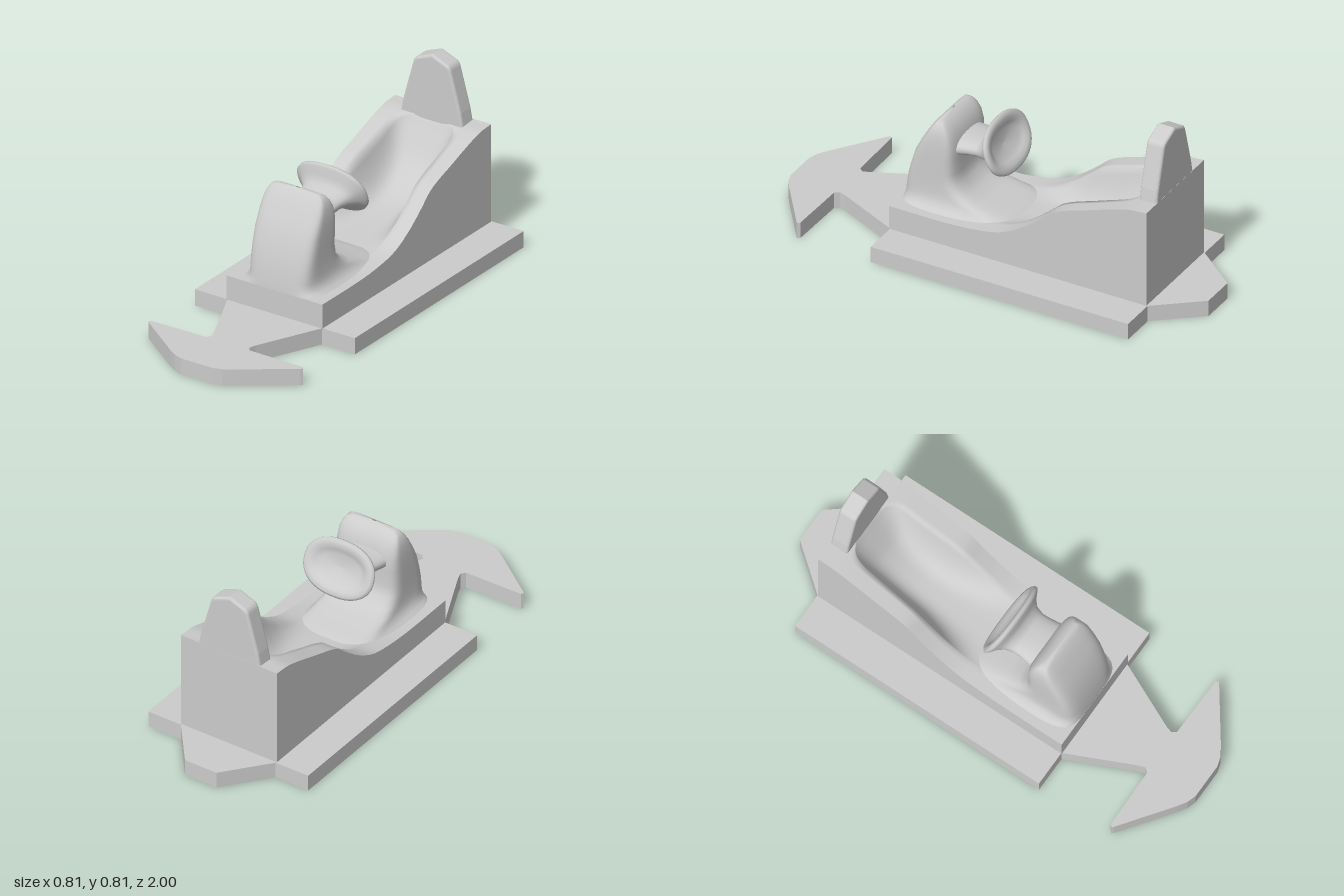
import * as THREE from 'three';

const mat = new THREE.MeshStandardMaterial({ color: 0xcccccc, side: THREE.DoubleSide });

// Smooth curve through [t, value] points, t ascending
function curve(pts) {
  const slope = (i) => {
    const a = pts[Math.max(i - 1, 0)], b = pts[Math.min(i + 1, pts.length - 1)];
    return (b[1] - a[1]) / (b[0] - a[0]);
  };
  return (t) => {
    let i = 0;
    while (i < pts.length - 2 && t > pts[i + 1][0]) i++;
    const [x0, y0] = pts[i], [x1, y1] = pts[i + 1], d = x1 - x0;
    const s = THREE.MathUtils.clamp((t - x0) / d, 0, 1), s2 = s * s, s3 = s2 * s;
    return (2 * s3 - 3 * s2 + 1) * y0 + (s3 - 2 * s2 + s) * d * slope(i)
      + (3 * s2 - 2 * s3) * y1 + (s3 - s2) * d * slope(i + 1);
  };
}

// Indexed surface over a grid of points; wrap closes each row into a ring
function gridGeometry(rows, wrap) {
  const n = rows[0].length, index = [];
  for (let i = 0; i < rows.length - 1; i++) {
    for (let j = 0; j < (wrap ? n : n - 1); j++) {
      const k = (j + 1) % n;
      const a = i * n + j, b = i * n + k, c = b + n, d = a + n;
      index.push(a, b, c, a, c, d);
    }
  }
  const g = new THREE.BufferGeometry();
  g.setAttribute('position', new THREE.Float32BufferAttribute(rows.flat(2), 3));
  g.setIndex(index);
  g.computeVertexNormals();
  return g;
}

// Superellipse ring centred on x = 0, facing up (tilt 90 deg) or back (tilt 0)
function ring(y, z, rx, r2, tilt, p) {
  const ny = Math.sin(tilt), nz = -Math.cos(tilt), out = [];
  const f = (v) => Math.sign(v) * Math.abs(v) ** (2 / p);
  for (let i = 0; i < 72; i++) {
    const a = (i / 72) * Math.PI * 2, u = rx * f(Math.cos(a)), v = r2 * f(Math.sin(a));
    out.push([u, y + v * nz, z - v * ny]);
  }
  return out;
}

function addMesh(group, name, geometry) {
  const m = new THREE.Mesh(geometry, mat);
  m.name = name;
  group.add(m);
  return m;
}

// Flat base plate with a pointed tail and an arrow-shaped nose
function makeBase(group) {
  const half = [[0.08, -1], [0.24, -0.8], [0.405, -0.8], [0.405, 0.432], [0.24, 0.432],
    [0.105, 0.725], [0.095, 0.755], [0.11, 0.775], [0.385, 0.78], [0.392, 0.79],
    [0.385, 0.798], [0.16, 0.962], [0.12, 0.987], [0.08, 1]];
  const pts = [...half, ...half.map(([x, z]) => [-x, z]).reverse()];
  const g = new THREE.ExtrudeGeometry(new THREE.Shape(pts.map(([x, z]) => new THREE.Vector2(x, -z))),
    { depth: 0.075, bevelEnabled: false });
  g.rotateX(-Math.PI / 2);
  addMesh(group, 'basePlate', g);
}

// Body block with a scooped seat in its sloping top
function makeBody(group) {
  const W = 0.243, Z0 = -0.795, Z1 = 0.435, ROWS = 110;
  const rim = curve([[Z0, 0.527], [-0.7, 0.517], [-0.5, 0.452], [-0.36, 0.4], [-0.28, 0.335],
    [-0.2, 0.275], [-0.1, 0.222], [0, 0.2], [0.15, 0.187], [Z1, 0.186]]);
  const floor = curve([[-0.715, 0.52], [-0.69, 0.475], [-0.6, 0.345], [-0.48, 0.26], [-0.33, 0.22],
    [-0.1, 0.2], [0.1, 0.188], [Z1, 0.186]]);
  const width = (z) => {
    const t = THREE.MathUtils.clamp((-0.56 - z) / 0.155, 0, 0.97);
    return (0.155 + 0.012 * THREE.MathUtils.smoothstep(z, -0.6, -0.2)) * (1 - t ** 4) ** 0.3;
  };
  const rows = [], side = [];
  for (let i = 0; i <= ROWS; i++) {
    const z = Z1 + (Z0 - Z1) * (i / ROWS), w = width(z), r = rim(z);
    const depth = z < -0.715 ? 0 : Math.max(0, r - floor(z));
    const row = [];
    for (let j = -20; j <= 20; j++) {
      const u = j / 16, s = Math.sign(u);
      const x = Math.abs(u) <= 1 ? u * w : s * (w + (W - w) * (Math.abs(u) - 1) * 4);
      const dip = Math.abs(u) < 1 ? (1 - Math.abs(u) ** 3.5) : 0;
      row.push([x, r - depth * dip, z]);
    }
    rows.push(row);
    side.push(new THREE.Vector2(-z, r));
  }
  addMesh(group, 'seatTop', gridGeometry(rows, false));

  const wall = new THREE.Shape([new THREE.Vector2(-Z1, 0.07), ...side, new THREE.Vector2(-Z0, 0.07)]);
  for (const s of [1, -1]) {
    const g = new THREE.ShapeGeometry(wall);
    g.rotateY(Math.PI / 2);
    g.translate(s * W, 0, 0);
    // Turn the far wall outward
    if (s < 0) {
      const ix = g.index.array;
      for (let k = 0; k < ix.length; k += 3) [ix[k], ix[k + 1]] = [ix[k + 1], ix[k]];
      g.computeVertexNormals();
    }
    addMesh(group, s > 0 ? 'leftWall' : 'rightWall', g);
  }
  for (const [name, z, turn] of [['frontWall', Z1, 0], ['backWall', Z0, Math.PI]]) {
    const h = rim(z) - 0.07;
    const m = addMesh(group, name, new THREE.PlaneGeometry(2 * W, h));
    m.position.set(0, 0.07 + h / 2, z);
    m.rotation.y = turn;
  }
}

// Raised front hood, flaring into the body and the seat: [y, front z, back z, half width]
function makeHood(group) {
  const table = [[0.18, 0.435, -0.12, 0.21], [0.195, 0.434, -0.1, 0.185], [0.213, 0.432, -0.03, 0.17],
    [0.235, 0.429, 0.07, 0.163], [0.26, 0.425, 0.13, 0.16], [0.3, 0.418, 0.172, 0.158],
    [0.35, 0.405, 0.184, 0.158], [0.42, 0.383, 0.184, 0.158], [0.48, 0.352, 0.186, 0.157],
    [0.53, 0.323, 0.2, 0.152], [0.56, 0.303, 0.217, 0.143], [0.58, 0.287, 0.235, 0.13],
    [0.591, 0.276, 0.252, 0.11], [0.595, 0.266, 0.262, 0.01]];
  const rows = table.map(([y, f, b, w]) => ring(y, (f + b) / 2, w, (f - b) / 2, Math.PI / 2, 5));
  addMesh(group, 'frontHood', gridGeometry(rows, true));
}

// Steering column flaring into a dished oval wheel: [z, y, half width, half height, tilt]
function makeWheel(group) {
  const T = 0.385;
  const table = [[0.23, 0.46, 0.118, 0.048, 0], [0.18, 0.463, 0.112, 0.043, 0], [0.14, 0.467, 0.105, 0.039, 0],
    [0.1, 0.471, 0.104, 0.04, 0.1], [0.062, 0.477, 0.115, 0.052, 0.25], [0.035, 0.487, 0.143, 0.085, T],
    [0.02, 0.493, 0.167, 0.114, T], [0.012, 0.496, 0.175, 0.124, T], [0.004, 0.499, 0.174, 0.124, T],
    [-0.003, 0.502, 0.164, 0.114, T], [-0.002, 0.502, 0.145, 0.094, T], [0.008, 0.498, 0.125, 0.074, T],
    [0.02, 0.493, 0.1, 0.054, T], [0.026, 0.491, 0.002, 0.002, T]];
  const rows = table.map(([z, y, rx, r2, t]) => ring(y, z, rx, r2, t, 2.3));
  addMesh(group, 'steeringWheel', gridGeometry(rows, true));
}

// Tapered headrest with a shallow peak
function makeHeadrest(group) {
  const s = new THREE.Shape();
  s.moveTo(-0.16, 0.5);
  s.lineTo(0.16, 0.5);
  s.lineTo(0.145, 0.58);
  s.lineTo(0.095, 0.76);
  s.quadraticCurveTo(0.09, 0.778, 0.075, 0.785);
  s.lineTo(0, 0.815);
  s.lineTo(-0.075, 0.785);
  s.quadraticCurveTo(-0.09, 0.778, -0.095, 0.76);
  s.lineTo(-0.145, 0.58);
  s.closePath();
  const g = new THREE.ExtrudeGeometry(s, {
    depth: 0.06, bevelThickness: 0.012, bevelSize: 0.012, bevelOffset: -0.012, bevelSegments: 4,
  });
  g.translate(0, 0, -0.782);
  addMesh(group, 'headrest', g);
}

export function createModel() {
  const group = new THREE.Group();
  group.name = 'toyRacer';
  makeBase(group);
  makeBody(group);
  makeHood(group);
  makeWheel(group);
  makeHeadrest(group);
  return group;
}
